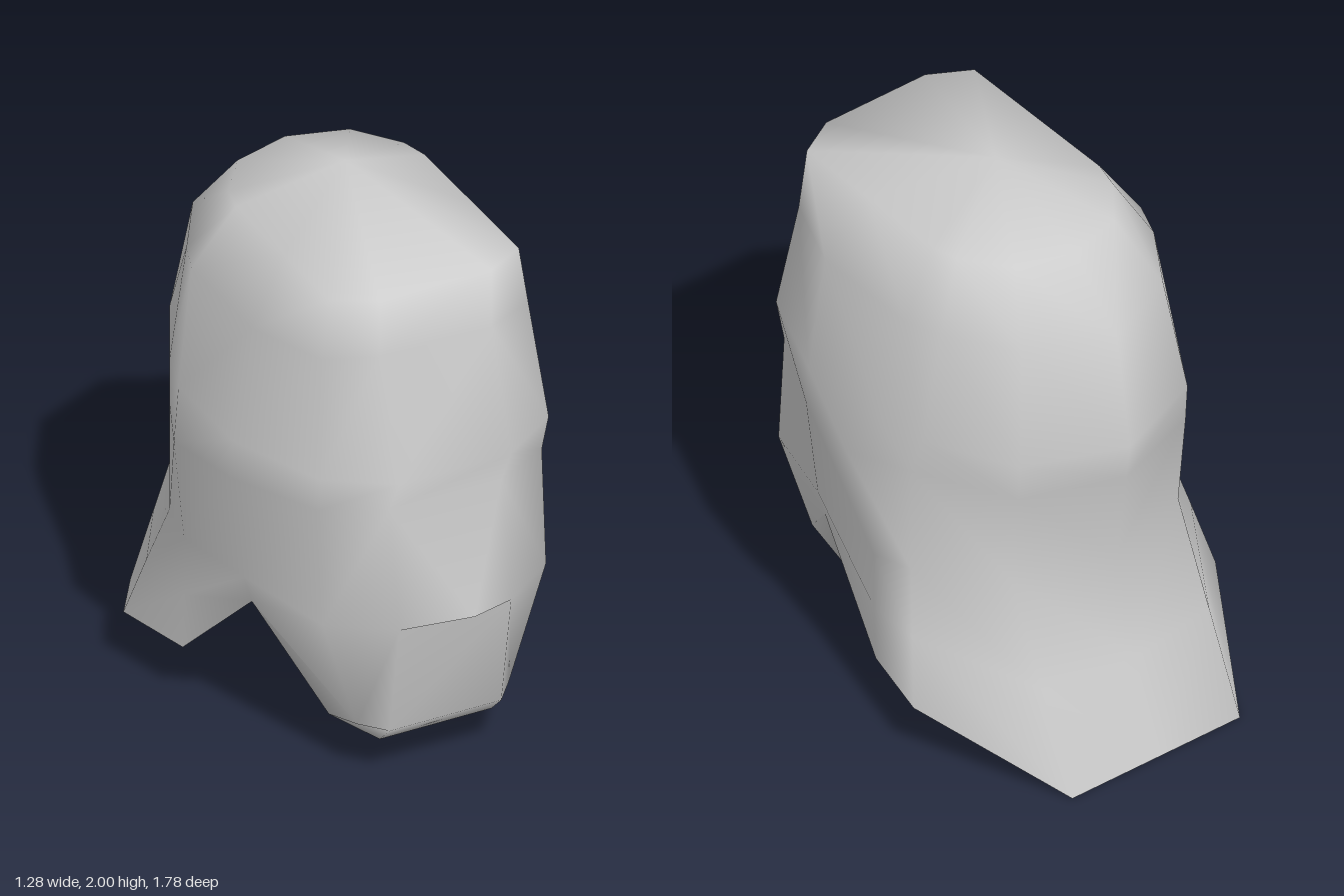
import * as THREE from 'three';

const grey = new THREE.MeshStandardMaterial({ color: 0xcccccc, side: THREE.DoubleSide });
grey.name = 'plainGrey';

// Left half of the head as columns, from the face round to the back.
// Each column lists [x, y, z] from the crown ring down to the open rim.
const columns = [
  // face front
  [[.21, 1.86, .61], [.21, 1.64, .61], [.21, 1.22, .75], [.21, 1.08, .68], [.21, .65, .75], [.21, .22, .68], [.21, .15, .61]],
  // cheek
  [[.355, 1.86, .53], [.39, 1.64, .53], [.43, 1.22, .6], [.42, 1.08, .57], [.42, .65, .6], [.285, .22, .59], [.285, .15, .39]],
  // temple, ending in the notch
  [[.355, 1.86, .2], [.5, 1.64, .25], [.57, 1.22, .25], [.58, 1.08, .25], [.53, .68, .25], [.5, .575, .25], [.5, .575, .25]],
  // side
  [[.355, 1.86, -.14], [.5, 1.64, -.18], [.57, 1.22, -.14], [.64, 1.08, -.04], [.57, .65, -.1], [.57, .43, -.1], [.57, .22, -.11]],
  // behind the side, flaring into the neck
  [[.33, 1.86, -.24], [.45, 1.64, -.31], [.52, 1.22, -.3], [.54, 1.08, -.26], [.54, .67, -.26], [.59, .45, -.33], [.64, .22, -.4]],
  // back corner
  [[.21, 1.86, -.4], [.3, 1.64, -.55], [.355, 1.22, -.61], [.355, 1.08, -.6], [.355, .72, -.56], [.355, .36, -.725], [.355, 0, -.89]],
];
const backLine = [[0, 1.86, -.46], [0, 1.64, -.68], [0, 1.22, -.75], [0, 1.08, -.73], [0, .72, -.68], [0, .36, -.785], [0, 0, -.89]];

function headGeometry() {
  const mirrored = columns.map(c => c.map(([x, y, z]) => [-x, y, z])).reverse();
  const loop = [...columns, backLine, ...mirrored];
  const levels = backLine.length, n = loop.length;
  const points = loop.flat();
  const id = (level, col) => (col % n) * levels + level;
  const crown = points.push([0, 2, -.03]) - 1;
  const nose = points.push([0, .72, .89]) - 1;
  const index = [];

  for (let c = 0; c < n; c++) {
    index.push(crown, id(0, c), id(0, c + 1));
    for (let l = 0; l < levels - 1; l++) {
      const tl = id(l, c), tr = id(l, c + 1), bl = id(l + 1, c), br = id(l + 1, c + 1);
      if (c === n - 1 && l === 3) {
        // pointed nose between brow and lip
        index.push(tl, bl, nose, bl, br, nose, br, tr, nose, tr, tl, nose);
      } else if (c < n / 2 - 1) {
        index.push(tl, bl, br, tl, br, tr);
      } else {
        index.push(tl, bl, tr, bl, br, tr); // mirrored diagonal
      }
    }
  }
  // underside of the chin
  const b = levels - 1;
  index.push(id(b, n - 1), id(b, n - 2), id(b, 1), id(b, n - 1), id(b, 1), id(b, 0));

  const g = new THREE.BufferGeometry();
  g.setAttribute('position', new THREE.Float32BufferAttribute(points.flat(), 3));
  g.setIndex(index);
  g.computeVertexNormals();
  return g;
}

export function createModel() {
  const group = new THREE.Group();
  group.name = 'headShell';
  const head = new THREE.Mesh(headGeometry(), grey);
  head.name = 'head';
  group.add(head);
  return group;
}
